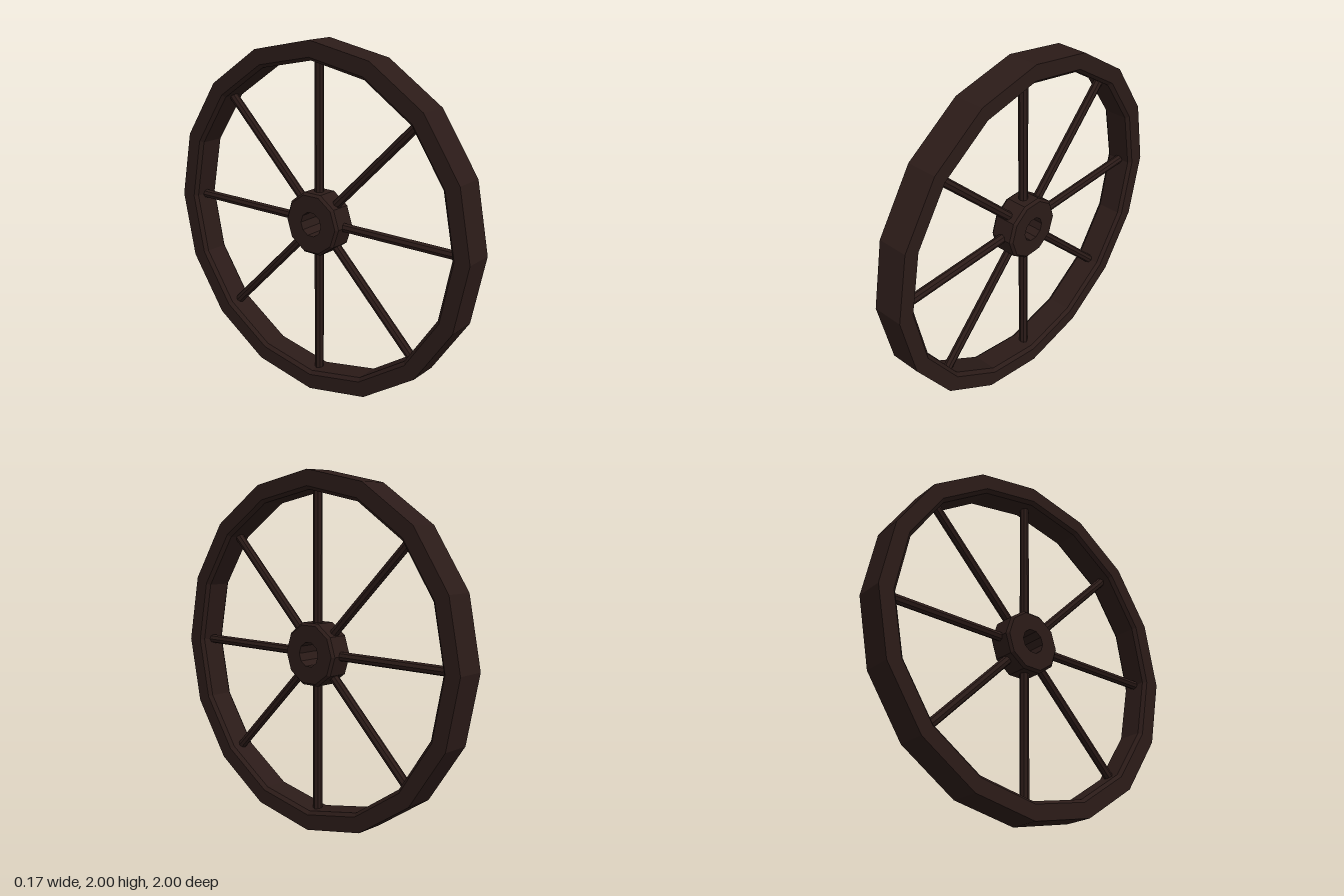
import * as THREE from 'three';

const wood = new THREE.MeshStandardMaterial({ color: 0x2b1b18, flatShading: true });

// Closed faceted ring around the x axis; profile is [radius, x], counterclockwise
function ring(name, profile, sides) {
  const points = [...profile, profile[0]].map(([r, x]) => new THREE.Vector2(r, x));
  const geometry = new THREE.LatheGeometry(points, sides).rotateZ(-Math.PI / 2);
  const mesh = new THREE.Mesh(geometry, wood);
  mesh.name = name;
  return mesh;
}

export function createModel() {
  const wheel = new THREE.Group();
  wheel.name = 'wheel';

  // Sixteen-sided rim, chamfered along its inner edges
  wheel.add(ring('rim', [
    [1, -0.087], [1, 0.087], [0.912, 0.087],
    [0.893, 0.068], [0.893, -0.068], [0.912, -0.087],
  ], 16));

  // Ten-sided hub with chamfered outer edges and an open axle hole
  wheel.add(ring('hub', [
    [0.168, -0.075], [0.182, -0.06], [0.182, 0.06],
    [0.168, 0.075], [0.07, 0.075], [0.07, -0.075],
  ], 10));

  // Eight round spokes running from the hub into the rim
  const inner = 0.15, outer = 0.92;
  const spokeGeometry = new THREE.CylinderGeometry(0.026, 0.026, outer - inner, 8)
    .translate(0, (inner + outer) / 2, 0);
  for (let i = 0; i < 8; i++) {
    const spoke = new THREE.Mesh(spokeGeometry, wood);
    spoke.name = `spoke${i + 1}`;
    spoke.rotation.x = (i * Math.PI) / 4;
    wheel.add(spoke);
  }

  wheel.position.y = 1;
  const model = new THREE.Group();
  model.add(wheel);
  return model;
}
